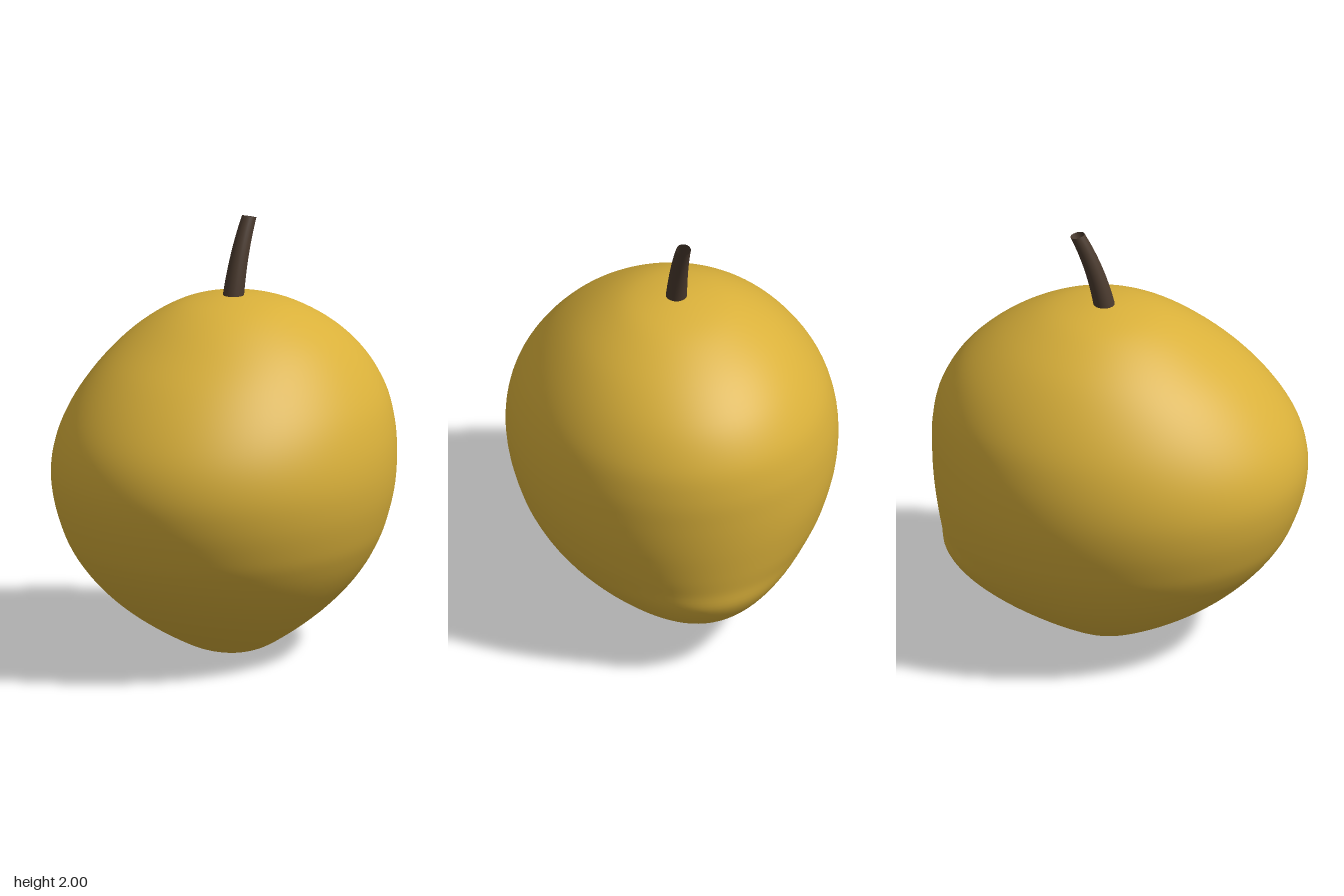
import * as THREE from 'three';
import { mergeVertices } from 'three/addons/utils/BufferGeometryUtils.js';

const skin = new THREE.MeshStandardMaterial({ color: 0xd9b03a });
skin.name = 'golden skin';
const bark = new THREE.MeshStandardMaterial({ color: 0x4a3a2e, side: THREE.DoubleSide });
bark.name = 'brown stem';

// Cross-sections from bottom to top: height, left edge, right edge, half depth, bulge
const sections = [
  [0.003, 0.07, 0.07, 0, 0],
  [0.03, -0.085, 0.23, 0.14, 0.03],
  [0.1, -0.24, 0.415, 0.265, 0.08],
  [0.2, -0.41, 0.6, 0.4, 0.123],
  [0.3, -0.545, 0.728, 0.505, 0.137],
  [0.4, -0.65, 0.795, 0.585, 0.115],
  [0.5, -0.73, 0.807, 0.645, 0.06],
  [0.6, -0.785, 0.822, 0.688, 0.027],
  [0.75, -0.835, 0.84, 0.728, 0.004],
  [0.9, -0.849, 0.849, 0.741, 0],
  [1.05, -0.813, 0.847, 0.722, 0],
  [1.2, -0.722, 0.815, 0.67, 0],
  [1.35, -0.585, 0.727, 0.577, 0],
  [1.48, -0.417, 0.585, 0.459, 0],
  [1.58, -0.255, 0.415, 0.315, 0],
  [1.635, -0.105, 0.255, 0.178, 0],
  [1.657, 0.07, 0.07, 0, 0],
];

// Lopsided fruit: a sphere reshaped to the smoothed sections, with a bulge low on one side
function makeFruit() {
  // Carry a section over the pole so the ends stay round
  const flip = ([y, l, r, d, b]) => [y, r, l, -d, -b];
  const rows = [flip(sections[1]), ...sections, flip(sections.at(-2))];
  const smoothCurve = (pick) => new THREE.CatmullRomCurve3(
    rows.map((row) => new THREE.Vector3(...pick(row))), false, 'catmullrom', 0.5);
  const edges = smoothCurve(([y, l, r]) => [l, y, r]);
  const depths = smoothCurve(([y, , , d, b]) => [d, y, b]);
  const geo = new THREE.SphereGeometry(1, 96, 80);
  const { position, uv } = geo.attributes;
  for (let i = 0; i < position.count; i++) {
    const v = THREE.MathUtils.clamp(uv.getY(i), 0, 1);
    const t = (1 + v * (sections.length - 1)) / (rows.length - 1);
    const angle = uv.getX(i) * Math.PI * 2;
    const e = edges.getPoint(t);
    const d = depths.getPoint(t);
    const right = e.z - d.z;
    const c = -Math.cos(angle);
    const x = (e.x + right) / 2 + c * (right - e.x) / 2 + d.z * Math.max(0, c) ** 3;
    position.setXYZ(i, x, e.y, Math.sin(angle) * d.x);
  }
  geo.deleteAttribute('uv');
  geo.deleteAttribute('normal');
  const smooth = mergeVertices(geo, 1e-5);
  smooth.computeVertexNormals();
  return smooth;
}

// Tapered hollow stem: an open cylinder bent along a curve, its rings tilting half as much
function makeStem() {
  const path = new THREE.QuadraticBezierCurve3(
    new THREE.Vector3(0.063, 1.6, 0),
    new THREE.Vector3(0.1, 1.82, 0),
    new THREE.Vector3(0.195, 1.993, 0));
  const geo = new THREE.CylinderGeometry(0.033, 0.05, 1, 24, 14, true);
  const { position, normal } = geo.attributes;
  const n = new THREE.Vector3();
  const axis = new THREE.Vector3(0, 0, 1);
  for (let i = 0; i < position.count; i++) {
    const t = THREE.MathUtils.clamp(position.getY(i) + 0.5, 0, 1);
    const p = path.getPoint(t);
    const tangent = path.getTangent(t);
    const lean = Math.atan2(tangent.x, tangent.y);
    const x = position.getX(i);
    position.setXYZ(i, p.x + Math.cos(lean / 2) * x, p.y - Math.sin(lean / 2) * x, position.getZ(i));
    n.fromBufferAttribute(normal, i).applyAxisAngle(axis, -lean);
    normal.setXYZ(i, n.x, n.y, n.z);
  }
  return geo;
}

export function createModel() {
  const model = new THREE.Group();
  model.name = 'fruit';
  const body = new THREE.Mesh(makeFruit(), skin);
  body.name = 'body';
  const stem = new THREE.Mesh(makeStem(), bark);
  stem.name = 'stem';
  model.add(body, stem);
  return model;
}
